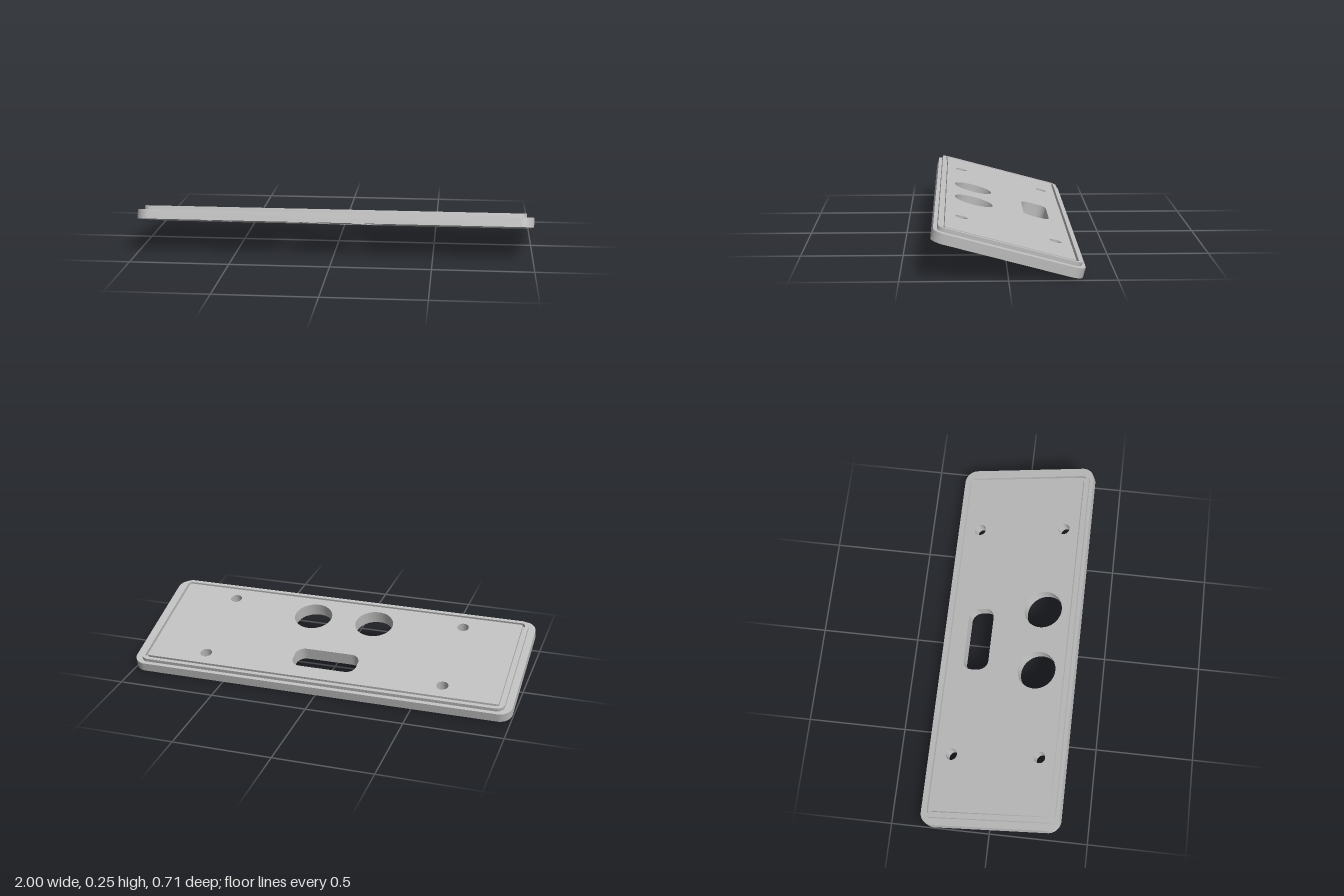
import * as THREE from 'three';
import { toCreasedNormals } from 'three/addons/utils/BufferGeometryUtils.js';

const BASE = 0.0485; // thickness of the main slab
const STEP = 0.019; // height of the raised rim and panel

// Rounded rectangle centred on (cx, cy), given half sizes
function roundedRect(target, w, h, r, cx = 0, cy = 0) {
  const half = Math.PI / 2;
  target.absarc(cx + w - r, cy + h - r, r, 0, half, false);
  target.absarc(cx - w + r, cy + h - r, r, half, 2 * half, false);
  target.absarc(cx - w + r, cy - h + r, r, 2 * half, 3 * half, false);
  target.absarc(cx + w - r, cy - h + r, r, 3 * half, 4 * half, false);
  target.closePath();
  return target;
}

function circle(x, y, r) {
  return new THREE.Path().absarc(x, y, r, 0, Math.PI * 2, false);
}

// Openings that pass through the whole plate (shape y points to the back)
function openings() {
  const list = [roundedRect(new THREE.Path(), 0.17, 0.068, 0.05, 0, 0.165)];
  for (const s of [-1, 1]) {
    list.push(circle(s * 0.168, -0.168, 0.1));
    for (const t of [-1, 1]) list.push(circle(s * 0.632, t * 0.233, 0.03));
  }
  return list;
}

// Extrude a shape upward from height y
function slab(name, shape, holes, y, height, material) {
  shape.holes.push(...holes);
  const raw = new THREE.ExtrudeGeometry(shape, { depth: height, bevelEnabled: false, curveSegments: 20 });
  raw.rotateX(-Math.PI / 2);
  raw.translate(0, y, 0);
  const mesh = new THREE.Mesh(toCreasedNormals(raw, 0.6), material);
  mesh.name = name;
  return mesh;
}

export function createModel() {
  const grey = new THREE.MeshStandardMaterial({ color: 0xc0c0c0 });
  grey.name = 'light grey';

  const plate = new THREE.Group();
  plate.name = 'tiltedPlate';

  // Main slab
  plate.add(slab('basePlate', roundedRect(new THREE.Shape(), 1, 0.3623, 0.065), openings(), 0, BASE, grey));

  // Raised rim, leaving a narrow groove around the panel
  plate.add(slab('rim', roundedRect(new THREE.Shape(), 0.963, 0.3435, 0.04),
    [roundedRect(new THREE.Path(), 0.945, 0.3255, 0.022)], BASE, STEP, grey));

  // Raised centre panel
  plate.add(slab('centrePanel', roundedRect(new THREE.Shape(), 0.932, 0.3125, 0.012), openings(), BASE, STEP, grey));

  // The front edge is raised by a 15 degree tilt
  plate.rotation.x = -Math.PI / 12;
  plate.position.set(0, 0.0938, 0.0063);

  const model = new THREE.Group();
  model.name = 'mountingPlate';
  model.add(plate);
  return model;
}
